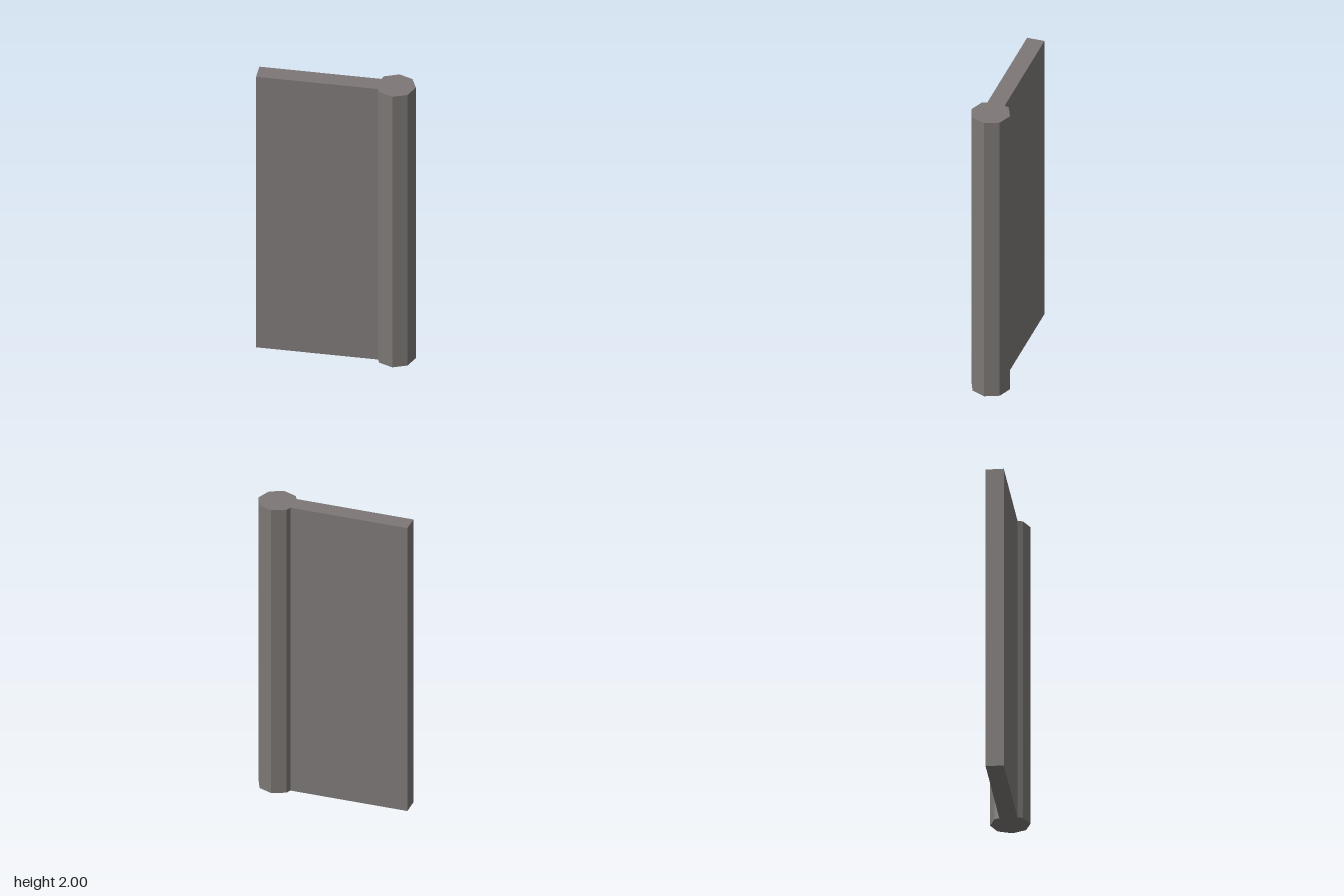
import * as THREE from 'three';

const HEIGHT = 2;
const POST_X = 0.367, POST_R = 0.124; // octagonal post
const EDGE_X = -0.491, HALF_T = 0.056; // flat panel

export function createModel() {
  const group = new THREE.Group();
  group.name = 'panelWithPost';

  // Post corners, running from the panel's lower side round to its upper side
  const corners = [];
  for (let i = -3; i <= 3; i++) {
    const a = (i * Math.PI) / 4;
    corners.push(new THREE.Vector2(POST_X + POST_R * Math.cos(a), POST_R * Math.sin(a)));
  }

  // Where the panel faces meet the post's rear facets
  const rear = corners[6];
  const joinX = POST_X - POST_R + (rear.x - POST_X + POST_R) * (HALF_T / rear.y);

  // One continuous plan outline, so the panel and post share flush ends
  const outline = new THREE.Shape([
    new THREE.Vector2(EDGE_X, -HALF_T),
    new THREE.Vector2(joinX, -HALF_T),
    ...corners,
    new THREE.Vector2(joinX, HALF_T),
    new THREE.Vector2(EDGE_X, HALF_T),
  ]);

  const geometry = new THREE.ExtrudeGeometry(outline, { depth: HEIGHT, bevelEnabled: false });
  geometry.rotateX(-Math.PI / 2); // stand the extrusion upright

  // Dark warm grey
  const leaf = new THREE.Mesh(
    geometry,
    new THREE.MeshStandardMaterial({ color: 0x7d7876, flatShading: true })
  );
  leaf.name = 'panelAndPost';
  group.add(leaf);
  return group;
}
